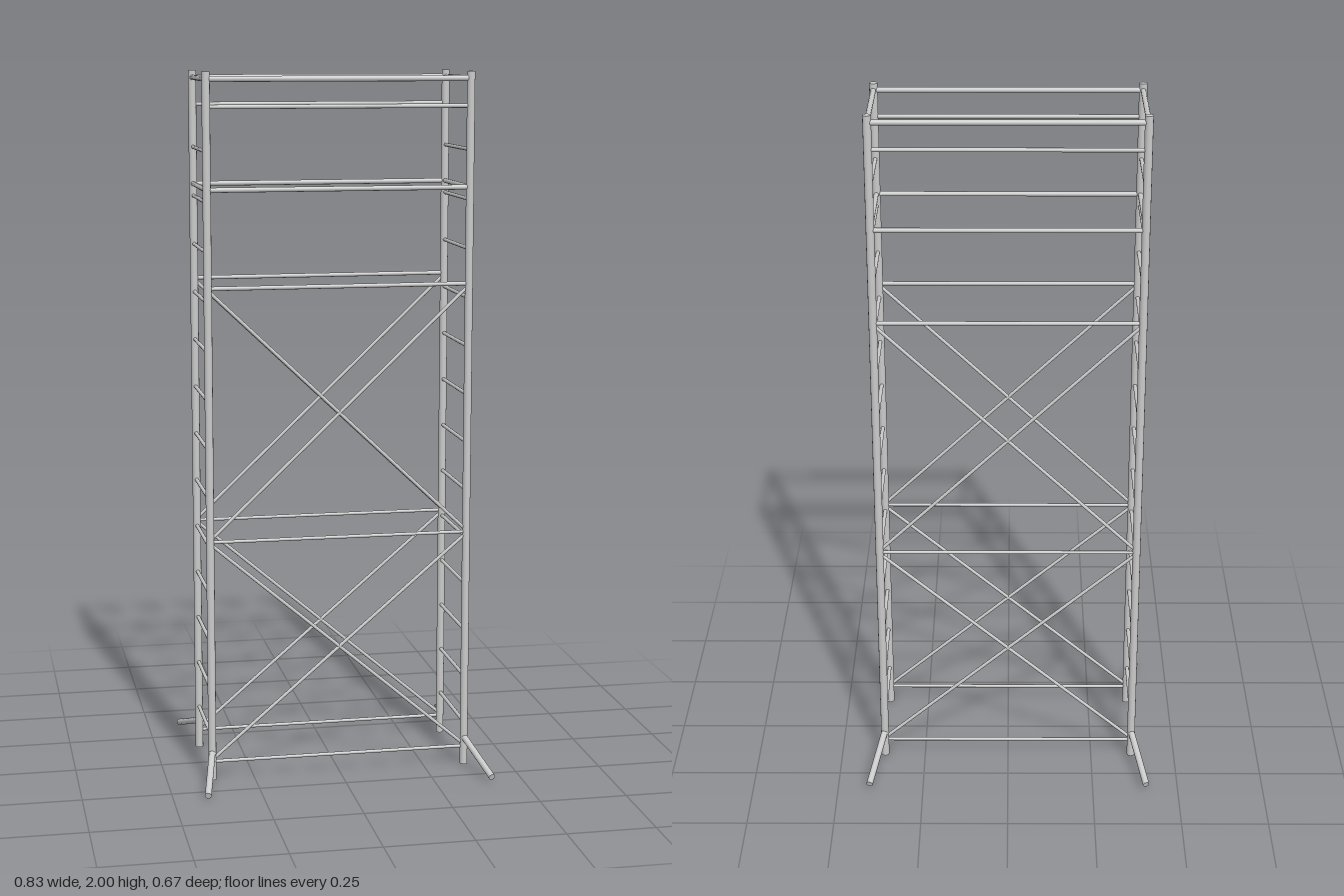
import * as THREE from 'three';

const material = new THREE.MeshStandardMaterial({ color: 0xcccccc });
const X = 0.37, Z = 0.147;

// Round tube between two points
function tube(group, name, a, b, radius) {
  const start = new THREE.Vector3(...a), end = new THREE.Vector3(...b);
  const dir = end.clone().sub(start);
  const mesh = new THREE.Mesh(new THREE.CylinderGeometry(radius, radius, dir.length(), 12), material);
  mesh.position.copy(start).add(end).multiplyScalar(0.5);
  mesh.quaternion.setFromUnitVectors(new THREE.Vector3(0, 1, 0), dir.normalize());
  mesh.name = name;
  group.add(mesh);
}

export function createModel() {
  const tower = new THREE.Group();
  tower.name = 'scaffoldTower';

  // Corner posts and splayed stabiliser legs
  for (const sx of [-1, 1]) {
    for (const sz of [-1, 1]) {
      tube(tower, 'cornerPost', [sx * X, 0, sz * Z], [sx * X, 2, sz * Z], 0.0115);
      tube(tower, 'stabiliserLeg', [sx * X, 0.081, sz * Z], [sx * 0.407, 0.018, sz * 0.332], 0.0095);
    }
  }

  // Long rails [height, radius] and cross braces on the front and back
  const rails = [[0.053, 0.005], [0.695, 0.005], [1.41, 0.006], [1.68, 0.007], [1.905, 0.006], [1.98, 0.008]];
  const bays = [[0.058, 0.69], [0.7, 1.405]];
  for (const z of [-Z, Z]) {
    for (const [y, r] of rails) tube(tower, 'longRail', [-X, y, z], [X, y, z], r);
    for (const [low, high] of bays) {
      for (const s of [-1, 1]) tube(tower, 'crossBrace', [-s * X, low, z], [s * X, high, z], 0.005);
    }
  }

  // Ladder rungs, platform bearers and top rails on both ends
  for (const x of [-X, X]) {
    for (let i = 0; i < 13; i++) {
      const y = 0.126 + i * 0.1382;
      tube(tower, 'ladderRung', [x, y, -Z], [x, y, Z], 0.0055);
    }
    tube(tower, 'platformBearer', [x, 1.68, -Z], [x, 1.68, Z], 0.007);
    tube(tower, 'endTopRail', [x, 1.98, -Z], [x, 1.98, Z], 0.0075);
  }
  return tower;
}
